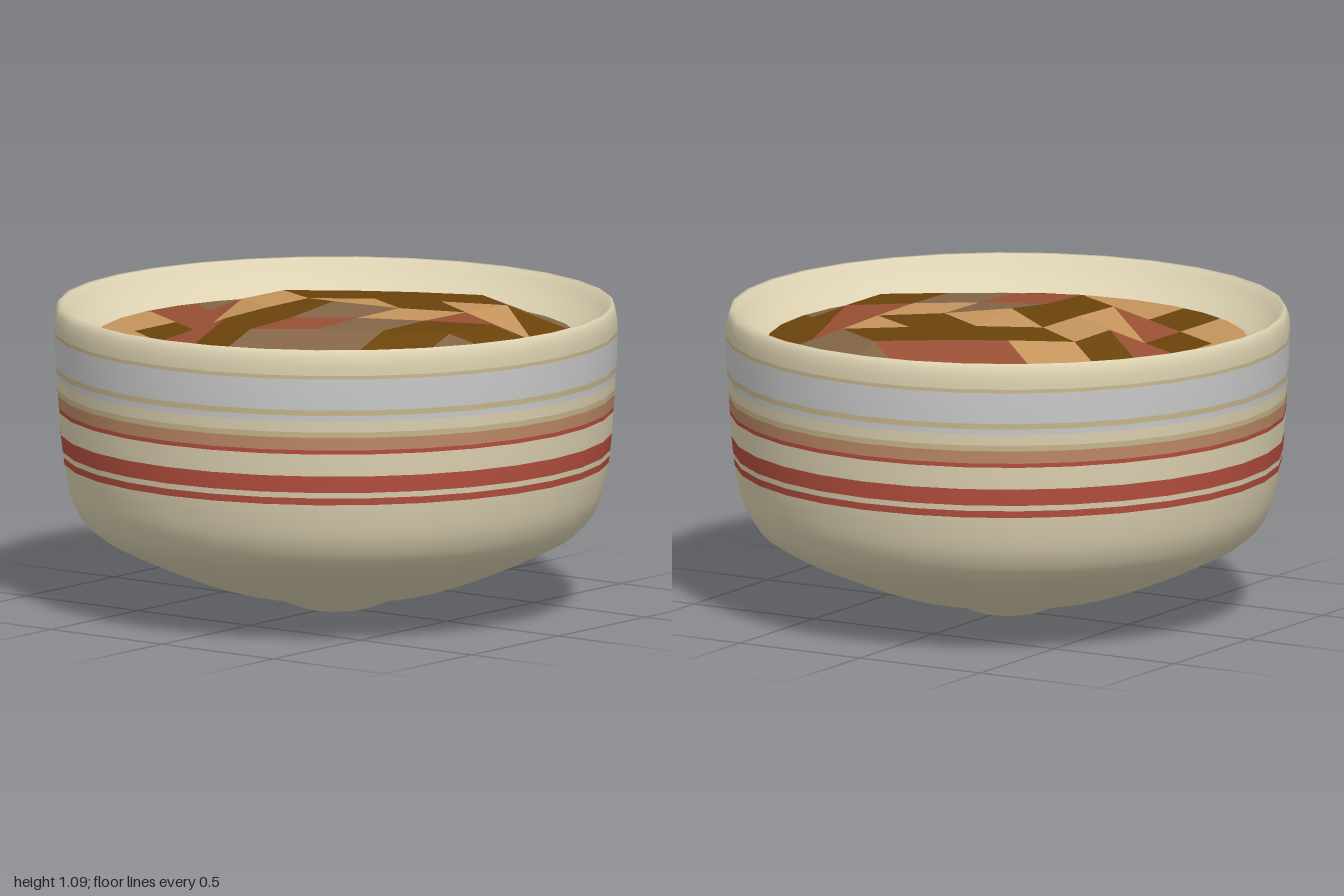
import * as THREE from 'three';

const SIDES = 32;
const CREAM = 0xddd2b2, GREY = 0xbcbcc0, SAND = 0xcbb98e, SALMON = 0xbf8b68, RED = 0xb8503f;

const v2 = (pts) => pts.map(([r, y]) => new THREE.Vector2(r, y));

function mesh(name, geometry, color, flatShading = false) {
  const m = new THREE.Mesh(geometry, new THREE.MeshStandardMaterial({ color, flatShading, roughness: 0.8 }));
  m.name = name;
  return m;
}

// Outer silhouette of the bowl, foot to rim
const outer = new THREE.SplineCurve(v2([
  [0.13, 0.005], [0.2, 0.033], [0.27, 0.052], [0.43, 0.09], [0.58, 0.145], [0.75, 0.22], [0.87, 0.29],
  [0.93, 0.375], [0.96, 0.48], [0.977, 0.6], [0.988, 0.75], [0.998, 0.92], [1, 1.03], [0.99, 1.08],
])).getPoints(78);

function radiusAt(y) {
  const i = Math.max(1, outer.findIndex((p) => p.y >= y));
  const a = outer[i - 1], b = outer[i];
  return a.x + (b.x - a.x) * (y - a.y) / (b.y - a.y);
}

// Slice of the outer wall between two heights
function wall(y0, y1) {
  const at = (y) => new THREE.Vector2(radiusAt(y), y);
  return [at(y0), ...outer.filter((p) => p.y > y0 + 0.003 && p.y < y1 - 0.003), at(y1)];
}

function buildBowl() {
  const bowl = new THREE.Group();
  bowl.name = 'bowl';
  const foot = v2([[0, 0.012], [0.08, 0.01], [0.11, 0]]);
  bowl.add(mesh('bowlBase', new THREE.LatheGeometry([...foot, ...wall(0.005, 0.53)], SIDES), CREAM));

  // Painted stripes: each runs from its height up to the next one
  const stripes = [
    [0.53, RED], [0.555, CREAM], [0.575, RED], [0.635, CREAM], [0.715, RED], [0.73, SALMON],
    [0.775, SAND], [0.795, CREAM], [0.835, GREY], [0.855, SAND], [0.875, GREY], [0.987, SAND], [1.0, CREAM],
  ];
  stripes.slice(0, -1).forEach(([y, color], i) => {
    bowl.add(mesh('stripe' + (i + 1), new THREE.LatheGeometry(wall(y, stripes[i + 1][0]), SIDES), color));
  });

  // Top of the wall, rim and sloping inside
  const inside = v2([[0.985, 1.09], [0.972, 1.088], [0.955, 1.06], [0.91, 1.01], [0.85, 0.965], [0.79, 0.92]]);
  bowl.add(mesh('rim', new THREE.LatheGeometry([...wall(1.0, 1.07), ...inside], SIDES), CREAM));
  return bowl;
}

// Diced filling: colours of the triangles in each strip of a triangular lattice,
// strips from -x to +x, letters from back to front
const STRIPS = [
  'GGGGGGRRTTTTTTT',
  'GGGGGGRRTTTTTTT',
  'GGGTTBBRRBBTTTT',
  'BBGRTBTTTTRRBBB',
  'BBRRBBTBBBBBBTT',
  'GGRBBBTGGRRGGTT',
  'GGGBTBTTGGGGBBB',
  'GGGBTRRBBBBTTTT',
  'BBBBBBBBGGTTTTT',
  'BBBBBBBBGGTTTTT',
];
const FILLING = {
  B: ['brownChunks', 0x6b430b], T: ['tanChunks', 0xc4945c],
  R: ['redChunks', 0x974f34], G: ['greyBrownChunks', 0x836547],
};

// Lattice corner; the middle of the filling is heaped up
function corner(i, j) {
  const x = -0.02 + 0.205 * i, z = -0.01 + 0.119 * j;
  const d = Math.hypot(x - 0.08, z + 0.05);
  const y = i === 0 && j === 0 ? 1.094 : d < 0.58 ? 1.08 - 0.04 * d : 0.97;
  return new THREE.Vector3(x, y, z);
}

// Splits a triangle finely and keeps the pieces inside the bowl
function addTriangle(out, a, b, c, n = 4) {
  const p = (u, v) => a.clone().addScaledVector(b.clone().sub(a), u / n).addScaledVector(c.clone().sub(a), v / n);
  const piece = (...t) => {
    const x = (t[0].x + t[1].x + t[2].x) / 3, z = (t[0].z + t[1].z + t[2].z) / 3;
    if (Math.hypot(x, z) < 0.89) t.forEach((q) => out.push(q.x, q.y, q.z));
  };
  for (let u = 0; u < n; u++) {
    for (let v = 0; u + v < n; v++) {
      piece(p(u, v), p(u + 1, v), p(u, v + 1));
      if (u + v < n - 1) piece(p(u + 1, v), p(u + 1, v + 1), p(u, v + 1));
    }
  }
}

function buildFilling() {
  const filling = new THREE.Group();
  filling.name = 'filling';
  const buckets = { B: [], T: [], R: [], G: [] };
  STRIPS.forEach((letters, n) => {
    const s = n - 5;
    for (let k = -8; k <= 8; k++) {
      const out = buckets[letters[THREE.MathUtils.clamp(k + 7, 0, 14)]];
      if ((k - s) % 2 === 0) addTriangle(out, corner(s, k), corner(s + 1, k + 1), corner(s + 1, k - 1));
      else addTriangle(out, corner(s + 1, k), corner(s, k - 1), corner(s, k + 1));
    }
  });
  for (const [key, [name, color]] of Object.entries(FILLING)) {
    const g = new THREE.BufferGeometry();
    g.setAttribute('position', new THREE.Float32BufferAttribute(buckets[key], 3));
    g.computeVertexNormals();
    filling.add(mesh(name, g, color, true));
  }
  return filling;
}

export function createModel() {
  const model = new THREE.Group();
  model.name = 'bowlOfDicedFood';
  model.add(buildBowl(), buildFilling());
  return model;
}
